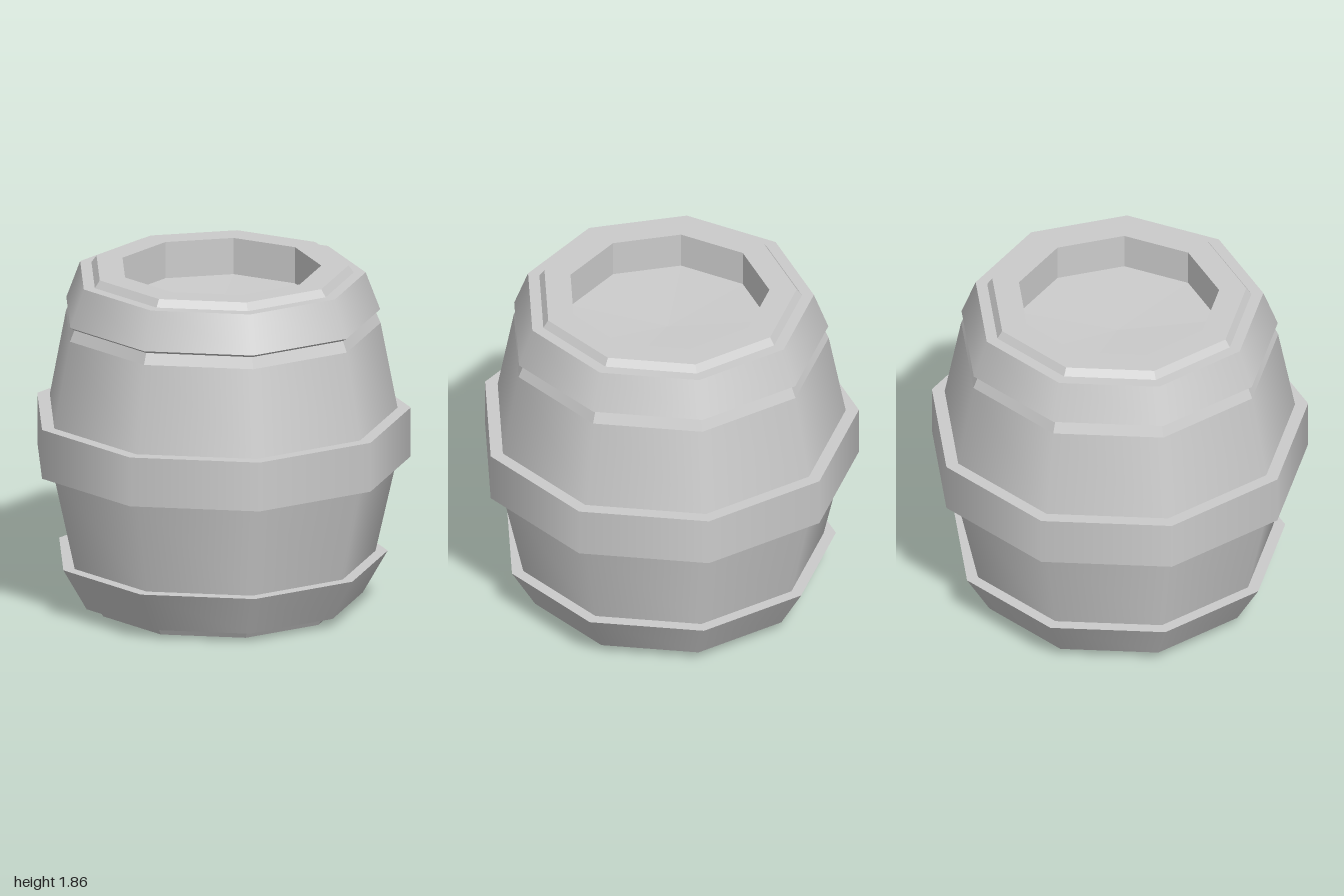
import * as THREE from 'three';

const SIDES = 9;

const smoothMat = new THREE.MeshStandardMaterial({ color: 0xcccccc, side: THREE.DoubleSide });
const flatMat = new THREE.MeshStandardMaterial({ color: 0xcccccc, side: THREE.DoubleSide, flatShading: true });

// One strip of the barrel shell, turned from a straight piece of the profile
function strip(from, to, flat) {
  const points = [from, to].map(([r, y]) => new THREE.Vector2(r, y));
  const geometry = new THREE.LatheGeometry(points, SIDES, Math.PI / 2);
  return new THREE.Mesh(geometry, flat ? flatMat : smoothMat);
}

// A named part: every pair of neighbouring [radius, height] points becomes a strip with sharp edges
function part(name, profile, flat = false) {
  const group = new THREE.Group();
  group.name = name;
  for (let i = 0; i < profile.length - 1; i++) {
    const mesh = strip(profile[i], profile[i + 1], flat);
    mesh.name = `${name}Strip${i + 1}`;
    group.add(mesh);
  }
  return group;
}

export function createModel() {
  const barrel = new THREE.Group();
  barrel.name = 'barrel';

  // The shell is one continuous profile from the open bottom up to the lid
  barrel.add(
    part('bottomRim', [[0.665, 0], [0.697, 0.05]], true),
    part('lowerHoop', [[0.697, 0.05], [0.76, 0.05], [0.893, 0.28], [0.828, 0.28]]),
    part('lowerStaves', [[0.828, 0.28], [0.945, 0.8]]),
    part('middleHoop', [[0.945, 0.8], [1.015, 0.8], [1.015, 1.07], [0.945, 1.07]]),
    part('upperStaves', [[0.945, 1.07], [0.855, 1.54]]),
    part('staveShoulder', [[0.855, 1.54], [0.83, 1.6]], true),
    part('upperHoop', [[0.83, 1.6], [0.853, 1.615], [0.776, 1.82], [0.713, 1.82]]),
    part('topRim', [[0.713, 1.82], [0.685, 1.86], [0.54, 1.86], [0.54, 1.66]], true),
    // Lid, very slightly dished
    part('lid', [[0.54, 1.66], [0, 1.64]], true),
  );

  // Nine sides are not symmetric in x, so shift the axis to centre the outline
  barrel.position.x = -0.033;

  const model = new THREE.Group();
  model.name = 'barrelModel';
  model.add(barrel);
  return model;
}
